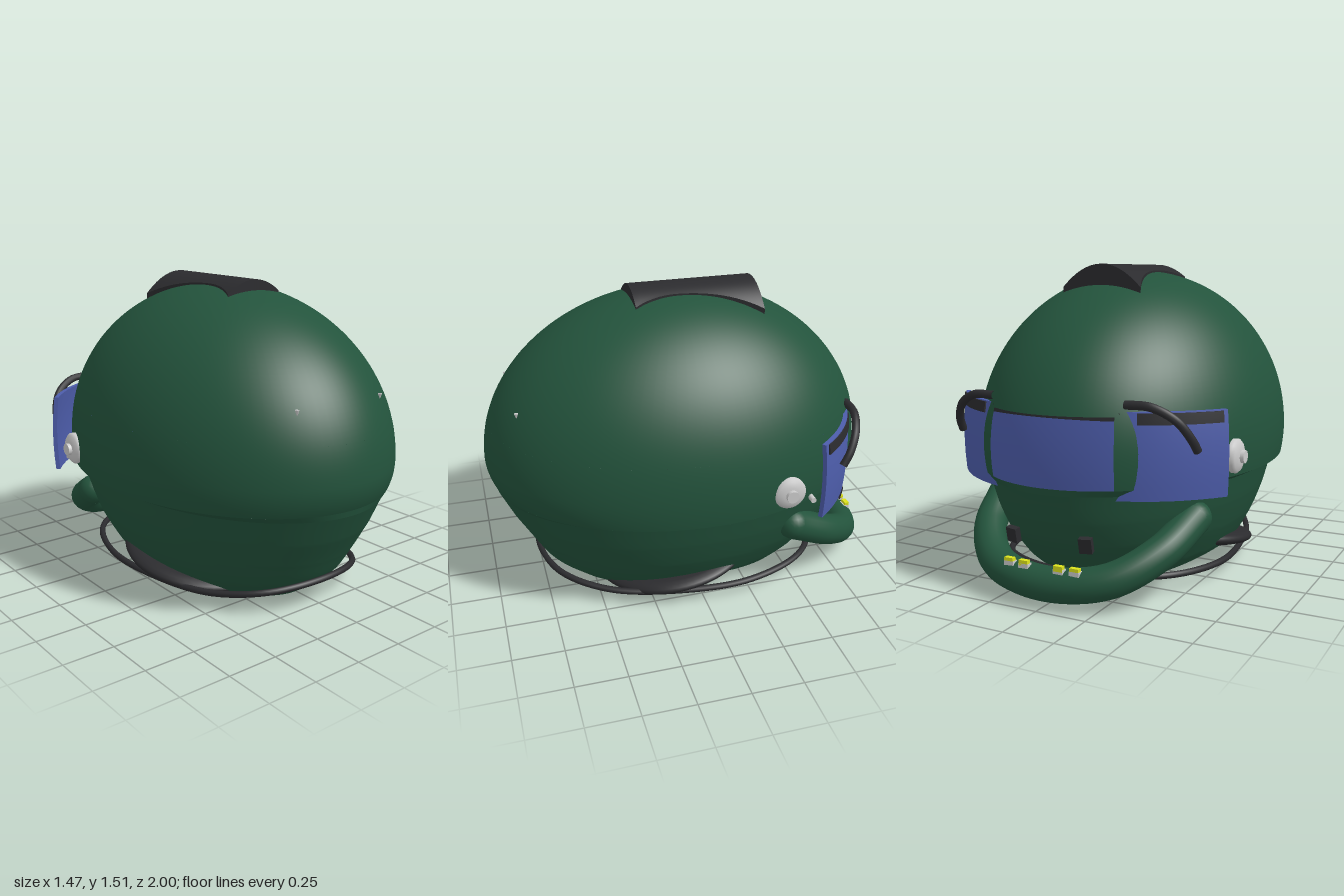
import * as THREE from 'three';
import { toCreasedNormals } from 'three/addons/utils/BufferGeometryUtils.js';
import { ParametricGeometry } from 'three/addons/geometries/ParametricGeometry.js';

const V = (x, y, z) => new THREE.Vector3(x, y, z);
const { lerp, clamp } = THREE.MathUtils;
const mat = (color) => new THREE.MeshStandardMaterial({ color, side: THREE.DoubleSide });

// Lower shell sizes (half width, back reach, front reach) at even heights from 0.52 down to 0
const lowerSizes = new THREE.CatmullRomCurve3([
  V(0.665, 0.957, 0.945), V(0.632, 0.895, 0.905), V(0.585, 0.82, 0.84),
  V(0.515, 0.74, 0.735), V(0.41, 0.58, 0.57),
]);

// Half width, back reach and front reach of the shell at height y
function sizes(y) {
  if (y <= 0.52) return lowerSizes.getPoint(clamp((0.52 - y) / 0.52, 0, 1));
  if (y < 0.68) {
    const k = ((0.68 - y) / 0.13) ** 2;
    return V(0.735 - 0.01 * k, 1 - 0.035 * k, 0.96 - 0.01 * k);
  }
  const u = Math.min((y - 0.68) / 0.81, 1);
  return V(0.735, 1, 0.96).multiplyScalar(Math.sqrt(1 - u * u));
}

// Point on the shell; angle 0 is the back (+z), PI the face side (-z)
function shellPoint(a, y, out) {
  const s = sizes(y), c = Math.cos(a);
  return out.set(s.x * Math.sin(a), y, c * (c > 0 ? s.y : s.z));
}

// Curved band of the visor between two x values and two heights, drawn in a little at top and bottom
function visorBand(x0, x1, y0, y1, offset, thick) {
  const n = 32, outer = [], inner = [];
  for (let i = 0; i <= n; i++) {
    const x = lerp(x0, x1, i / n);
    const p = new THREE.Vector2(x, -0.88 + 0.4 * x ** 2 + 0.49 * x ** 4);
    const normal = new THREE.Vector2(0.8 * x + 1.96 * x ** 3, -1).normalize();
    outer.push(p.clone().addScaledVector(normal, offset));
    inner.unshift(p.clone().addScaledVector(normal, offset - thick));
  }
  const g = new THREE.ExtrudeGeometry(new THREE.Shape([...outer, ...inner]), { depth: y1 - y0, steps: 6, bevelEnabled: false });
  g.rotateX(Math.PI / 2).translate(0, y1, 0);
  const pos = g.attributes.position;
  for (let i = 0; i < pos.count; i++) {
    const k = 1 - 0.35 * (pos.getY(i) - 0.66) ** 2;
    pos.setX(i, pos.getX(i) * k);
    pos.setZ(i, pos.getZ(i) * k);
  }
  return toCreasedNormals(g, 0.6);
}

export function createModel() {
  const model = new THREE.Group();
  const green = mat(0x23533c), dark = mat(0x2b2b2e), blue = mat(0x4d5dab);
  const grey = mat(0xcccccc), yellow = mat(0xdde31c);
  const add = (name, geometry, material, x = 0, y = 0, z = 0) => {
    const m = new THREE.Mesh(geometry, material);
    m.name = name;
    m.position.set(x, y, z);
    model.add(m);
    return m;
  };
  const surface = (f, nu, nv) => new ParametricGeometry(f, nu, nv);
  const TAU = Math.PI * 2;

  // Dome above the face opening
  const t0 = Math.asin((0.87 - 0.68) / 0.81);
  add('dome', surface((u, v, p) => {
    shellPoint(u * TAU, 0.68 + 0.81 * Math.sin(lerp(t0, Math.PI / 2 - 0.004, v)), p);
  }, 96, 40), green);

  // Middle band, open at the face
  const half = Math.PI - 0.45;
  add('middleShell', surface((u, v, p) => {
    shellPoint(lerp(-half, half, u), lerp(0.55, 0.87, v), p);
  }, 96, 12), green);

  // Overhanging step along the sides, fading at front and back
  add('sideStep', surface((u, v, p) => {
    shellPoint(u * TAU, 0.55, p);
    p.lerp(shellPoint(u * TAU, 0.52, V(0, 0, 0)), 1 - v);
  }, 96, 1), green);

  // Lower shell, its rim dipping at chin and nape
  add('lowerShell', surface((u, v, p) => {
    const a = u * TAU;
    const rim = 0.12 - 0.115 * Math.abs(Math.cos(a)) ** 1.5;
    shellPoint(a, lerp(rim, 0.52, v), p);
  }, 96, 24), green);

  // Padded neck ring, tilted up towards the face
  add('neckRing', surface((u, v, p) => {
    const a = u * TAU, b = v * TAU, r = 0.075 * Math.cos(b), s = Math.sin(a);
    const z = (0.36 + r) * Math.cos(a);
    p.set((0.52 + r) * Math.sign(s) * Math.abs(s) ** 0.75, 0.125 - 0.17 * z + 0.034 * Math.sin(b), 0.07 + z);
  }, 72, 16), dark);

  // Thin cord around the lower rim
  const side = [[0.28, 0.12, 0.69], [0.44, 0.085, 0.48], [0.53, 0.072, 0.15], [0.55, 0.08, -0.25], [0.4, 0.1, -0.59]];
  const mirrorPath = (pts, mid, s) => [...pts.map(([x, y, z]) => V(s * x, y, z)), mid,
    ...pts.slice().reverse().map(([x, y, z]) => V(-s * x, y, z))];
  const cord = [V(0, 0.135, 0.762), ...mirrorPath(side, V(0, 0.11, -0.745), 1)];
  add('neckCord', new THREE.TubeGeometry(new THREE.CatmullRomCurve3(cord, true), 120, 0.016, 8, true), dark);

  // Chin tube
  const tubeHalf = [[0.53, 0.365, -0.47], [0.46, 0.25, -0.69], [0.29, 0.145, -0.86]];
  const chin = mirrorPath(tubeHalf, V(0, 0.108, -0.92), -1);
  add('chinTube', new THREE.TubeGeometry(new THREE.CatmullRomCurve3(chin), 80, 0.08, 20), green);

  // Visor, with a dark seal under the brow
  add('visor', visorBand(-0.72, 0.72, 0.5, 0.89, 0, 0.022), blue);
  add('browSeal', visorBand(-0.33, 0.33, 0.85, 0.885, 0.01, 0.02), dark);

  // Raised strip on the crown, narrow in the middle, closed at both ends
  const strip = surface((u, v, p) => {
    const z = lerp(0.24, -0.39, clamp((v * 22 - 1) / 20, 0, 1));
    const w = z < 0.03 ? 0.11 + 0.1 * ((0.03 - z) / 0.42) ** 2 : 0.11 + 0.05 * ((z - 0.03) / 0.21) ** 2;
    const x = w * clamp((u * 22 - 11) / 10, -1, 1);
    const skirt = Math.min(u, v) < 0.02 || Math.max(u, v) > 0.98;
    p.set(x, skirt ? 1.375 : 1.52 - 2.5 * x * x, z);
  }, 22, 22);
  add('crownStrip', toCreasedNormals(strip, 0.5), dark);

  for (const s of [-1, 1]) {
    const tag = s > 0 ? 'left' : 'right';

    // Rounded end of the chin tube
    add(tag + 'TubeEnd', new THREE.SphereGeometry(0.079, 20, 12), green, s * 0.53, 0.365, -0.47);

    // Dark edging and bent arm on the visor wing
    const [near, far] = s > 0 ? [0.4, 0.705] : [-0.705, -0.4];
    add(tag + 'VisorTrim', visorBand(near, far, 0.835, 0.885, 0.006, 0.01), dark);
    const arm = [V(s * 0.34, 0.92, -0.8), V(s * 0.46, 0.915, -0.79), V(s * 0.56, 0.86, -0.755), V(s * 0.61, 0.78, -0.71), V(s * 0.625, 0.72, -0.67)];
    add(tag + 'VisorArm', new THREE.TubeGeometry(new THREE.CatmullRomCurve3(arm), 32, 0.02, 10), dark);

    // Side knob: domed disc, centre button and small screw
    const dome = [[0.08, -0.02], [0.08, 0], [0.068, 0.012], [0.04, 0.021], [0, 0.025]];
    const disc = new THREE.LatheGeometry(dome.map(([r, h]) => new THREE.Vector2(r, h)), 32).rotateZ(-s * Math.PI / 2);
    add(tag + 'Knob', disc, grey, s * 0.695, 0.65, -0.37);
    const button = new THREE.CylinderGeometry(0.03, 0.03, 0.08, 20).rotateZ(Math.PI / 2);
    add(tag + 'KnobButton', button, grey, s * 0.695, 0.65, -0.37);
    const screw = new THREE.CylinderGeometry(0.014, 0.014, 0.07, 12).rotateZ(Math.PI / 2);
    add(tag + 'Screw', screw, grey, s * 0.62, 0.565, -0.515);

    // Tiny pegs at the back
    const peg = new THREE.ConeGeometry(0.01, 0.03, 8).rotateX(Math.PI);
    add(tag + 'Peg', peg, grey, s * 0.26, 1.012, 0.845);

    // Dark clips in front of the chin
    const clip = add(tag + 'Clip', new THREE.BoxGeometry(0.06, 0.07, 0.03), dark, s * 0.19, 0.3, -0.882);
    clip.rotation.set(-0.2, s * -0.2, 0);

    // Lamps on the chin tube
    for (const x of [0.09, 0.17]) {
      const z = -0.953 + x * 0.05;
      add(tag + 'LampBase', new THREE.BoxGeometry(0.05, 0.03, 0.03), grey, s * x, 0.182, z + 0.003);
      add(tag + 'Lamp', new THREE.BoxGeometry(0.046, 0.025, 0.024), yellow, s * x, 0.2, z);
    }
  }
  return model;
}
